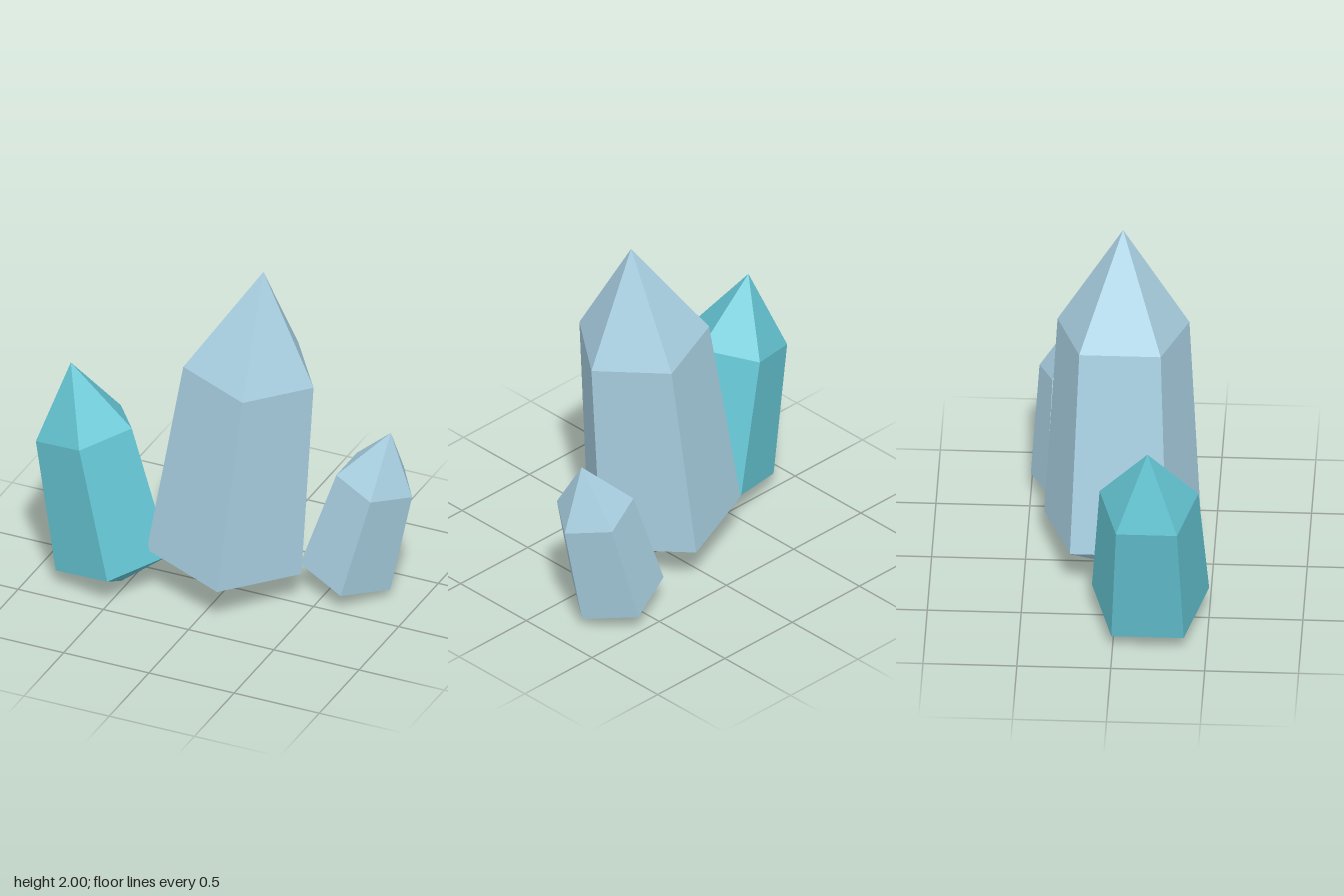
import * as THREE from 'three';

// Five-sided crystal: short point below, tapering shaft, long point on top.
function crystalGeometry(length, radius) {
  const profile = [
    [0, 0],
    [radius, length * 0.121],
    [radius * 0.843, length * 0.701],
    [0, length],
  ].map(([r, y]) => new THREE.Vector2(r, y));
  // Start at +x so one edge faces right; unshared vertices give flat facets
  const geometry = new THREE.LatheGeometry(profile, 5, Math.PI / 2).toNonIndexed();
  geometry.computeVertexNormals();
  return geometry;
}

export function createModel() {
  const group = new THREE.Group();
  group.name = 'crystalCluster';

  const paleBlue = new THREE.MeshStandardMaterial({ color: 0xa9d0e2 });
  paleBlue.name = 'paleBlue';
  const teal = new THREE.MeshStandardMaterial({ color: 0x63c3d1 });
  teal.name = 'teal';

  // Each crystal stands on its lower point and leans sideways
  const crystals = [
    { name: 'tallCrystal', material: paleBlue, length: 2.014, radius: 0.438, x: -0.03, z: 0.01, lean: 0.12 },
    { name: 'tealCrystal', material: teal, length: 1.309, radius: 0.328, x: -0.54, z: 0.188, lean: -0.228 },
    { name: 'smallCrystal', material: paleBlue, length: 1.061, radius: 0.262, x: 0.545, z: -0.253, lean: 0.278 },
  ];
  for (const c of crystals) {
    const mesh = new THREE.Mesh(crystalGeometry(c.length, c.radius), c.material);
    mesh.name = c.name;
    mesh.position.set(c.x, 0, c.z);
    mesh.rotation.z = -c.lean;
    group.add(mesh);
  }
  return group;
}
